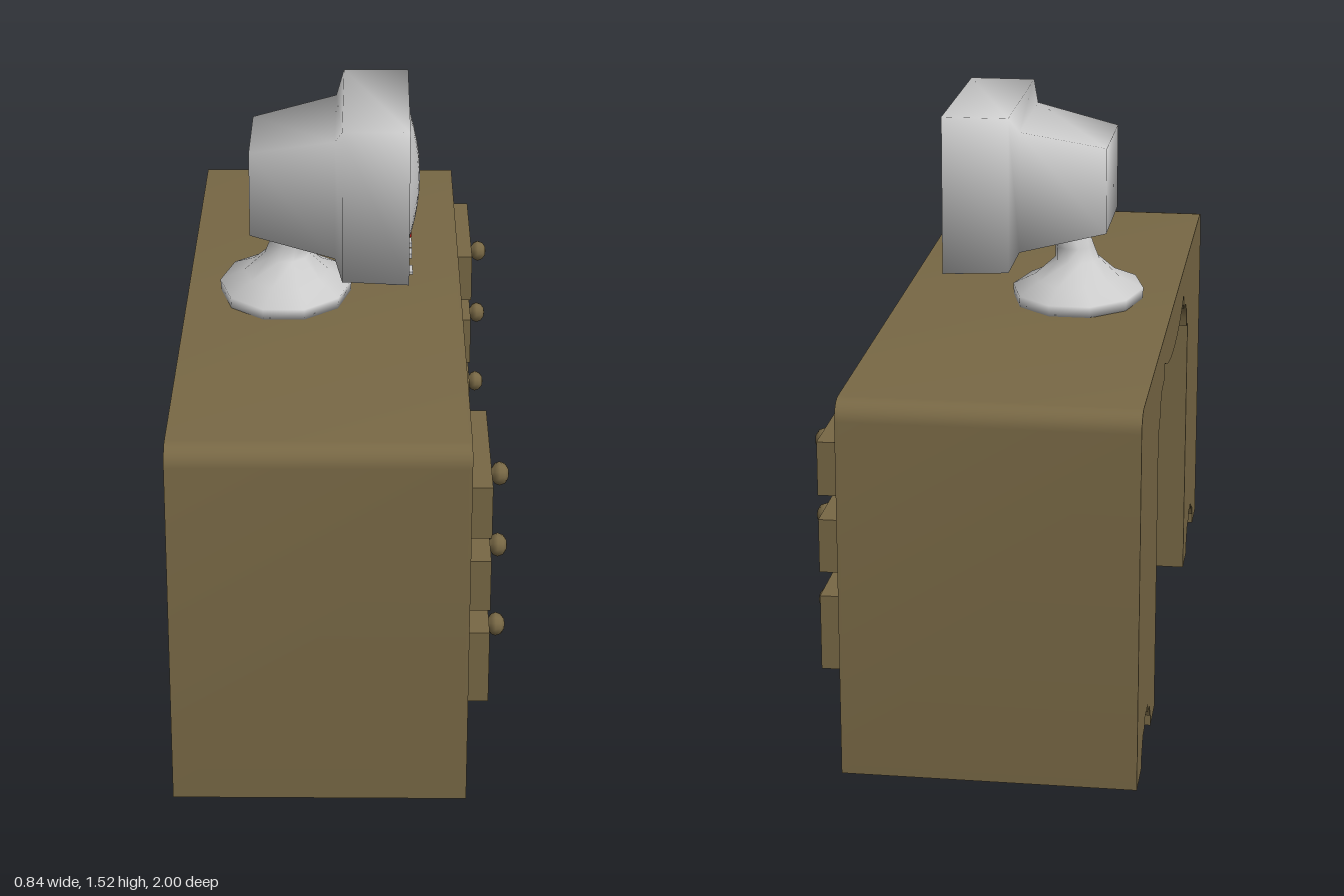
import * as THREE from 'three';
import { toCreasedNormals } from 'three/addons/utils/BufferGeometryUtils.js';

const wood = new THREE.MeshStandardMaterial({ color: 0x78683f });
wood.color.set(0x786845);
const grey = new THREE.MeshStandardMaterial({ color: 0xcccccc });
const red = new THREE.MeshStandardMaterial({ color: 0xe01010 });

function add(parent, name, geometry, material, x = 0, y = 0, z = 0) {
  const mesh = new THREE.Mesh(geometry, material);
  mesh.name = name;
  mesh.position.set(x, y, z);
  parent.add(mesh);
  return mesh;
}

// Extrudes a (z, y) outline along x from x0 to x1
function extrudeX(shape, x0, x1) {
  const g = new THREE.ExtrudeGeometry(shape, { depth: x1 - x0, bevelEnabled: false, curveSegments: 8 });
  g.rotateY(Math.PI / 2).translate(x0, 0, 0);
  return toCreasedNormals(g, 0.6);
}

function rectPath(x0, y0, x1, y1, Type = THREE.Path) {
  return new Type([[x0, y0], [x1, y0], [x1, y1], [x0, y1]].map(p => new THREE.Vector2(...p)));
}

// Smooth skin through rings of equal length, with optional flat end fans
function loft(rings, capStart, capEnd) {
  const n = rings[0].length, pos = rings.flat(2), index = [];
  for (let r = 0; r < rings.length - 1; r++) {
    for (let i = 0; i < n; i++) {
      const a = r * n + i, b = r * n + (i + 1) % n;
      index.push(a, b, b + n, a, b + n, a + n);
    }
  }
  const last = (rings.length - 1) * n;
  for (let i = 1; i < n - 1; i++) {
    if (capStart) index.push(0, i + 1, i);
    if (capEnd) index.push(last, last + i, last + i + 1);
  }
  const g = new THREE.BufferGeometry();
  g.setAttribute('position', new THREE.Float32BufferAttribute(pos, 3));
  g.setIndex(index);
  g.computeVertexNormals();
  return g;
}

// Desk outline: two pedestals with scrolled feet, joined by a bowed apron
function deskShape() {
  const foot = [[0.13, 0], [0.13, 0.03], [0.115, 0.035], [0.105, 0.06], [0.085, 0.075],
    [0.045, 0.077], [0.04, 0.1]];
  const arch = [...foot, ...foot.map(([x, y]) => [-x, y]).reverse()].map(([x, y]) => [x + 0.75, y]);
  const scroll = [[0.5, 0], [0.5, 0.765], [0.46, 0.765], [0.455, 0.79], [0.44, 0.82], [0.415, 0.842],
    [0.395, 0.85], [0.36, 0.85], [0.345, 0.85], [0.328, 0.865], [0.335, 0.88], [0.328, 0.895]];
  const apron = [[0.26, 0.872], [0.19, 0.856], [0.1, 0.844], [0, 0.84]];
  const corner = [];
  for (let i = 6; i >= 0; i--) {
    const a = i / 6 * Math.PI / 2;
    corner.push([0.95 + 0.05 * Math.cos(a), 0.925 + 0.05 * Math.sin(a)]);
  }
  const half = [...corner, [1, 0], ...arch, ...scroll, ...apron];
  const other = half.slice(0, -1).map(([x, y]) => [-x, y]).reverse();
  return new THREE.Shape([...half, ...other].map(p => new THREE.Vector2(...p)));
}

function createDesk() {
  const desk = new THREE.Group();
  desk.name = 'desk';
  add(desk, 'deskBody', extrudeX(deskShape(), -0.42, 0.312), wood);
  // Front layer with a sunken plinth panel under each drawer stack
  const front = deskShape();
  for (const s of [-1, 1]) front.holes.push(rectPath(s * 0.535, 0.14, s * 0.965, 0.2));
  add(desk, 'deskFront', extrudeX(front, 0.312, 0.32), wood);

  const knobProfile = [[0, 0], [0.012, 0], [0.012, 0.008], [0.025, 0.016], [0.03, 0.028],
    [0.025, 0.042], [0.013, 0.05], [0, 0.052]].map(p => new THREE.Vector2(...p));
  const knob = new THREE.LatheGeometry(knobProfile, 12).rotateZ(-Math.PI / 2);
  for (const s of [-1, 1]) {
    for (const [y0, y1] of [[0.725, 0.862], [0.525, 0.662], [0.268, 0.462]]) {
      const y = (y0 + y1) / 2;
      add(desk, 'drawer', new THREE.BoxGeometry(0.052, y1 - y0, 0.44), wood, 0.345, y, s * 0.75);
      add(desk, 'drawerKnob', knob, wood, 0.368, y, s * 0.752);
    }
    // Panel on the knee-hole side of the pedestal
    add(desk, 'sidePanel', new THREE.BoxGeometry(0.57, 0.38, 0.008), wood, 0.015, 0.43, s * 0.5);
  }
  return desk;
}

function createMonitor() {
  const monitor = new THREE.Group();
  monitor.name = 'monitor';

  // Housing rings: x, bottom, top, half width
  const rings = [[-0.245, 1.19, 1.42, 0.148], [-0.02, 1.143, 1.467, 0.193],
    [0, 1.105, 1.517, 0.262], [0.175, 1.097, 1.517, 0.262]]
    .map(([x, b, t, w]) => [[x, b, w], [x, b, -w], [x, t, -w], [x, t, w]]);
  add(monitor, 'monitorHousing', loft(rings, true, false), grey);

  // Bezel with the screen opening
  const bezel = rectPath(-0.261, 1.098, 0.261, 1.516, THREE.Shape);
  bezel.holes.push(rectPath(-0.218, 1.128, 0.218, 1.49));
  add(monitor, 'bezel', extrudeX(bezel, 0.12, 0.175), grey);

  // Bulging glass
  const glass = new THREE.PlaneGeometry(0.44, 0.365, 12, 12).rotateY(Math.PI / 2);
  const p = glass.attributes.position;
  for (let i = 0; i < p.count; i++) {
    const u = p.getZ(i) / 0.22, v = p.getY(i) / 0.1825;
    p.setX(i, 0.205 - 0.035 * v * v - 0.03 * u * u);
  }
  glass.computeVertexNormals();
  add(monitor, 'screen', glass, grey, 0, 1.309, 0);

  // Controls along the lower bezel
  for (const [z, w, h, mat] of [[0.195, 0.05, 0.006, grey], [0.078, 0.042, 0.013, grey],
    [0, 0.042, 0.013, grey], [-0.08, 0.042, 0.015, red]]) {
    add(monitor, mat === red ? 'powerButton' : 'button', new THREE.BoxGeometry(0.02, h, w), mat, 0.175, 1.114, z);
  }

  // Flared foot and leaning neck: y, centre x, radius in x, radius in z
  const stand = [[0.975, -0.155, 0.176, 0.218], [1.005, -0.155, 0.178, 0.222], [1.035, -0.152, 0.115, 0.145],
    [1.085, -0.152, 0.06, 0.075], [1.12, -0.145, 0.053, 0.06], [1.21, -0.115, 0.05, 0.06]]
    .map(([y, cx, rx, rz]) => Array.from({ length: 10 }, (_, i) => {
      const a = i / 10 * Math.PI * 2 + Math.PI;
      return [cx + rx * Math.cos(a), y, -rz * Math.sin(a)];
    }));
  add(monitor, 'stand', loft(stand, true, true), grey);
  return monitor;
}

export function createModel() {
  const model = new THREE.Group();
  model.name = 'deskWithMonitor';
  model.add(createDesk(), createMonitor());
  return model;
}
